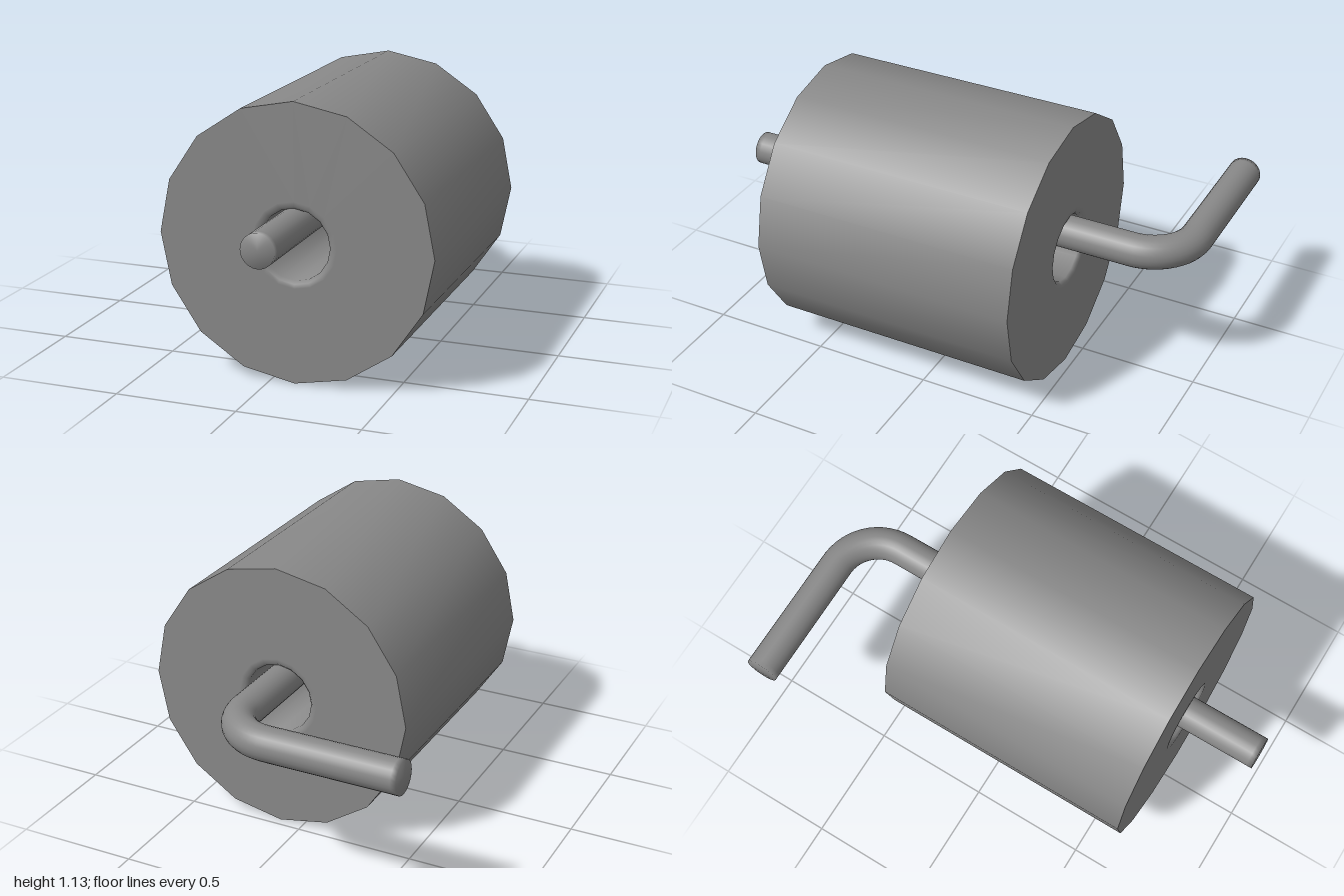
import * as THREE from 'three';
import { mergeGeometries, mergeVertices, toCreasedNormals } from 'three/addons/utils/BufferGeometryUtils.js';

const V = (x, y, z) => new THREE.Vector3(x, y, z);

export function createModel() {
  const model = new THREE.Group();
  model.name = 'rollOnHolder';
  const material = new THREE.MeshStandardMaterial({ color: 0x888888 });
  const add = (name, geometry) => {
    const mesh = new THREE.Mesh(geometry, material);
    mesh.name = name;
    model.add(mesh);
    return mesh;
  };

  // Sixteen-sided hollow roll lying along z, with a softened rim around the hole
  const outer = 0.563, inner = 0.144, back = -0.465, front = 0.66, rim = 0.012;
  const profile = [
    [inner, back + rim], [inner + rim, back], [inner + 0.03, back], [outer, back],
    [outer, front], [inner + 0.03, front], [inner + rim, front], [inner, front - rim],
    [inner, back + rim],
  ].map(([r, h]) => new THREE.Vector2(r, h));
  const rollGeometry = new THREE.LatheGeometry(profile, 16).rotateX(Math.PI / 2);
  add('paperRoll', toCreasedNormals(rollGeometry, Math.PI / 3)).position.set(0.103, 0.564, 0);

  // Bent rod: straight through the roll, then a quarter bend towards -x
  const r = 0.069, x = 0.095, y = 0.639, z = -0.931, endX = -0.667;
  const bend = 0.2, k = bend * (1 - 0.5523);
  const path = new THREE.CurvePath();
  path.add(new THREE.LineCurve3(V(x, y, 1), V(x, y, z + bend)));
  path.add(new THREE.CubicBezierCurve3(
    V(x, y, z + bend), V(x, y, z + k), V(x - k, y, z), V(x - bend, y, z)));
  path.add(new THREE.LineCurve3(V(x - bend, y, z), V(endX, y, z)));

  // The end caps are welded to the tube so the shading runs softly over their edges
  const rod = mergeGeometries([
    new THREE.TubeGeometry(path, 110, r, 24),
    new THREE.CircleGeometry(r, 24).translate(x, y, 1),
    new THREE.CircleGeometry(r, 24).rotateY(-Math.PI / 2).translate(endX, y, z),
  ]);
  rod.deleteAttribute('normal');
  rod.deleteAttribute('uv');
  const smoothRod = mergeVertices(rod, 0.001);
  smoothRod.computeVertexNormals();
  add('holderRod', smoothRod);

  return model;
}
